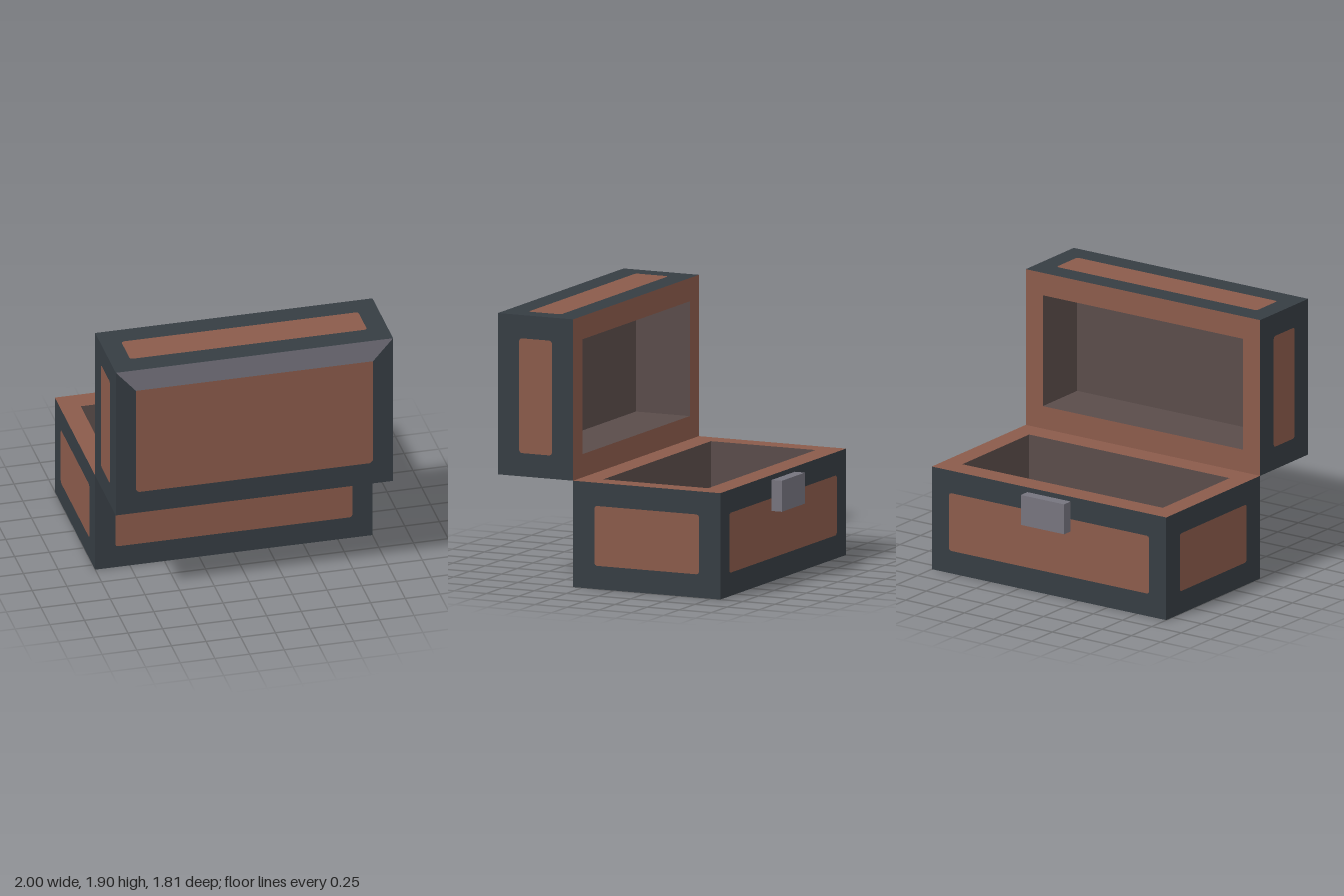
import * as THREE from 'three';

const WIDTH = 2, DEPTH = 1.145, BASE_H = 0.755, LID_H = 0.585;
const INSET_X = 0.145, INSET = 0.165, CUT = 0.02;

const mat = (name, color) => new THREE.MeshStandardMaterial({ name, color });

// Closed outline from points
const outline = (pts) => pts.map(([x, y]) => new THREE.Vector2(x, y));

// Rectangle with half sizes a, b and small cut corners
function cutRect(a, b, cut) {
  if (!cut) return outline([[-a, -b], [a, -b], [a, b], [-a, b]]);
  const k = cut * 0.3;
  return outline([
    [-a + cut, -b], [a - cut, -b], [a - k, -b + k], [a, -b + cut],
    [a, b - cut], [a - k, b - k], [a - cut, b], [-a + cut, b],
    [-a + k, b - k], [-a, b - cut], [-a, -b + cut], [-a + k, -b + k],
  ]);
}

export function createModel() {
  const band = mat('dark band', 0x363d43);
  const wood = mat('reddish wood', 0x8b5b4b);
  const metal = mat('grey metal', 0x76747e);
  const lining = mat('dark lining', 0x5a4c4a);

  const flat = (name, pts, material, hole) => {
    const shape = new THREE.Shape(pts);
    if (hole) shape.holes.push(new THREE.Path(hole));
    const mesh = new THREE.Mesh(new THREE.ShapeGeometry(shape), material);
    mesh.name = name;
    return mesh;
  };

  // Flat side: a band frame around a flush wooden panel
  function framedSide(w, h, insetX, insetY) {
    const g = new THREE.Group();
    const inner = cutRect(w / 2 - insetX, h / 2 - insetY, CUT);
    g.add(flat('bandFrame', cutRect(w / 2, h / 2), band, inner), flat('woodPanel', inner, wood));
    return g;
  }

  // Lid top: bands on three edges and a mitred metal strip on the fourth
  function lidTop() {
    const g = new THREE.Group();
    const a = WIDTH / 2, b = DEPTH / 2, p = a - INSET_X, q = b - INSET;
    const lower = [[-p, q], [-p, -q + CUT], [-p + CUT, -q], [p - CUT, -q], [p, -q + CUT], [p, q]];
    g.add(
      flat('bandFrame', outline([[-a, b], [-a, -b], [a, -b], [a, b], ...[...lower].reverse()]), band),
      flat('woodPanel', outline(lower), wood),
      flat('metalEdge', outline([[-p, q], [p, q], [a, b], [-a, b]]), metal),
    );
    return g;
  }

  // Hollow half of the chest, standing on y = 0 and open at +y
  function hollowBox(name, height, bottom) {
    const g = new THREE.Group();
    g.name = name;
    const place = (part, partName, pos, rx, ry) => {
      part.name = partName;
      part.position.set(...pos);
      part.rotation.set(rx, ry, 0);
      g.add(part);
    };
    const w = WIDTH / 2, d = DEPTH / 2, iw = w - INSET_X, id = d - INSET;
    const ih = (height - INSET) / 2, iy = INSET + ih;

    place(bottom, 'bottomSide', [0, 0, 0], Math.PI / 2, 0);
    for (const s of [1, -1]) {
      const turn = s > 0 ? 0 : Math.PI;
      // Outer walls
      place(framedSide(WIDTH, height, INSET_X, INSET), 'longSide', [0, height / 2, s * d], 0, turn);
      place(framedSide(DEPTH, height, INSET, INSET), 'shortSide', [s * w, height / 2, 0], 0, s * Math.PI / 2);
      // Inner walls
      place(flat('', cutRect(iw, ih), lining), 'innerLongWall', [0, iy, -s * id], 0, turn);
      place(flat('', cutRect(id, ih), lining), 'innerShortWall', [-s * iw, iy, 0], 0, s * Math.PI / 2);
    }
    place(flat('', cutRect(iw, id), lining), 'innerFloor', [0, INSET, 0], -Math.PI / 2, 0);
    place(flat('', cutRect(w, d), wood, cutRect(iw, id)), 'rim', [0, height, 0], -Math.PI / 2, 0);
    return g;
  }

  const model = new THREE.Group();
  model.name = 'openChest';

  const base = hollowBox('base', BASE_H, framedSide(WIDTH, DEPTH, INSET_X, INSET));
  base.position.z = -0.2525;
  model.add(base);

  // Lid swung open through a right angle, hinged on the rear top edge
  const lid = hollowBox('lid', LID_H, lidTop());
  lid.rotation.x = -Math.PI / 2;
  lid.position.set(0, BASE_H + DEPTH / 2, 0.905);
  model.add(lid);

  // Latch
  const latch = new THREE.Mesh(new THREE.BoxGeometry(0.37, 0.22, 0.08), metal);
  latch.name = 'latch';
  latch.position.set(0, 0.61, -0.865);
  model.add(latch);

  return model;
}
